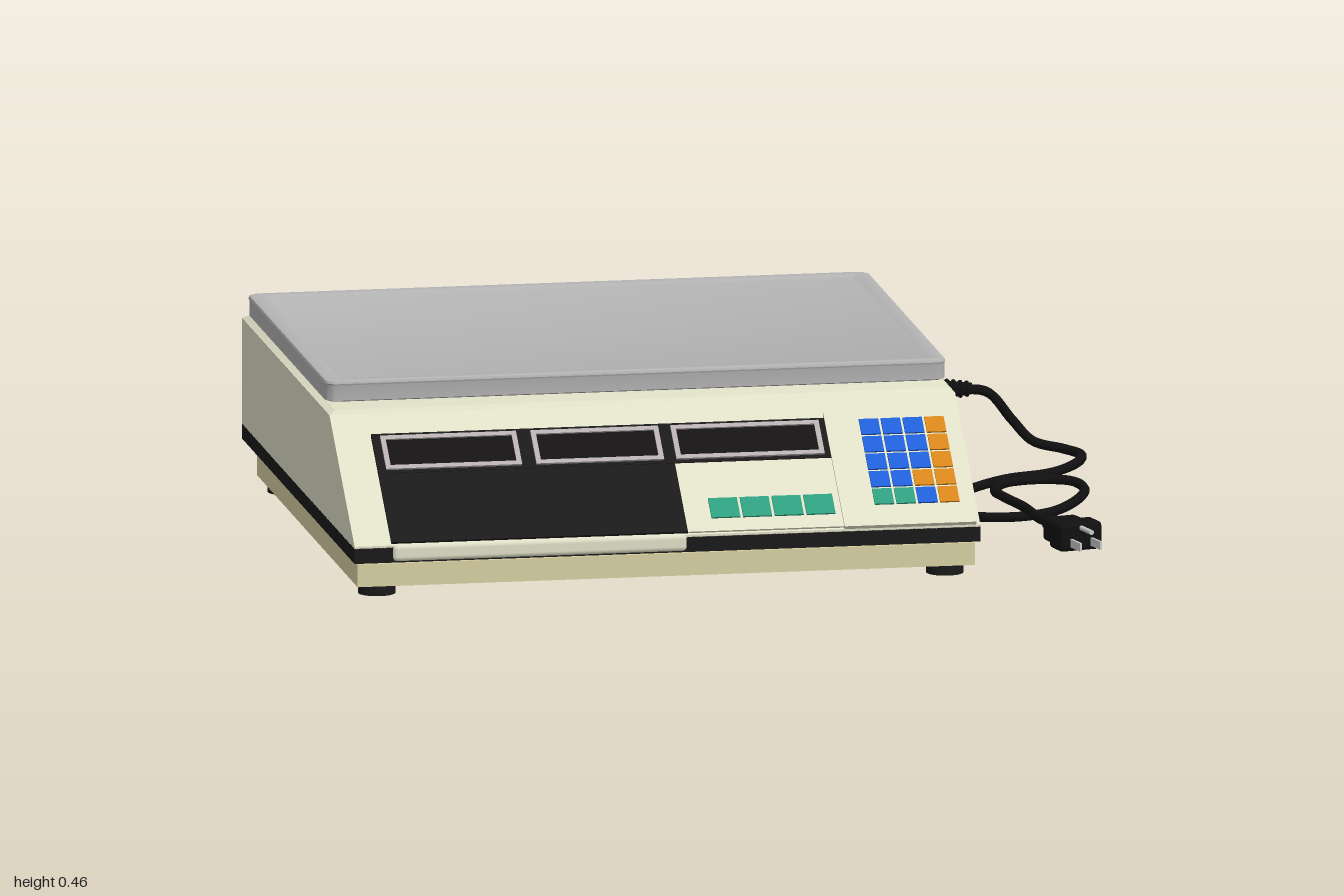
import * as THREE from 'three';
import { toCreasedNormals } from 'three/addons/utils/BufferGeometryUtils.js';
import { RoundedBoxGeometry } from 'three/addons/geometries/RoundedBoxGeometry.js';

const mat = (color) => new THREE.MeshStandardMaterial({ color });
const cream = mat(0xe0e0c8), yellowish = mat(0xd8d0a4), black = mat(0x1a1a1a), cordBlack = mat(0x101010);
const steel = mat(0xb4b4b4), bezelGrey = mat(0xb8b0b0), glass = mat(0x151313), pin = mat(0xcccccc);
const keyColors = { b: mat(0x1f5fd8), o: mat(0xd8861a), g: mat(0x2f9f80) };

function add(parent, name, geometry, material, x = 0, y = 0, z = 0) {
  const mesh = new THREE.Mesh(geometry, material);
  mesh.name = name;
  mesh.position.set(x, y, z);
  parent.add(mesh);
  return mesh;
}

const box = (w, h, d) => new THREE.BoxGeometry(w, h, d);

// Side profile given in (z, y), extruded from x0 to x1
function sideSlab(shape, x0, x1) {
  return new THREE.ExtrudeGeometry(shape, { depth: x1 - x0, bevelEnabled: false, curveSegments: 8 })
    .rotateY(-Math.PI / 2).translate(x1, 0, 0);
}

const polygon = (pts) => new THREE.Shape(pts.map(([a, b]) => new THREE.Vector2(a, b)));

// Stack of rounded rectangles, each level [inset, y], closed at both ends
function loftRect(w, d, r, levels) {
  const pos = [], index = [], steps = 5, n = 4 * (steps + 1);
  for (const [inset, y] of levels) {
    const rad = Math.max(r - inset, 0.002);
    for (let c = 0; c < 4; c++) {
      const sx = c === 0 || c === 3 ? 1 : -1, sz = c < 2 ? 1 : -1;
      for (let k = 0; k <= steps; k++) {
        const a = (c + k / steps) * Math.PI / 2;
        pos.push(sx * (w / 2 - inset - rad) + rad * Math.cos(a), y, -(sz * (d / 2 - inset - rad) + rad * Math.sin(a)));
      }
    }
  }
  const last = levels.length - 1, bottom = pos.length / 3;
  pos.push(0, levels[0][1], 0, 0, levels[last][1], 0);
  for (let j = 0; j < n; j++) {
    const k = (j + 1) % n;
    for (let i = 0; i < last; i++) {
      const a = i * n + j, b = i * n + k;
      index.push(a, b, b + n, a, b + n, a + n);
    }
    index.push(bottom, k, j, bottom + 1, last * n + j, last * n + k);
  }
  const g = new THREE.BufferGeometry();
  g.setAttribute('position', new THREE.Float32BufferAttribute(pos, 3));
  g.setIndex(index);
  return toCreasedNormals(g, 0.5);
}

// Moulded connector: mating face at z = 0, cable leaving towards -z
function connector(name) {
  const g = new THREE.Group();
  g.name = name;
  add(g, 'connectorBody', new RoundedBoxGeometry(0.11, 0.068, 0.07, 2, 0.01), cordBlack, 0, 0, -0.035);
  add(g, 'connectorGrip', new RoundedBoxGeometry(0.088, 0.058, 0.08, 2, 0.012), cordBlack, 0, 0, -0.095);
  add(g, 'strainRelief', new THREE.CylinderGeometry(0.024, 0.014, 0.08, 16).rotateX(Math.PI / 2), cordBlack, 0, 0, -0.16);
  for (let i = 0; i < 4; i++)
    add(g, 'reliefRib', new THREE.TorusGeometry(0.021 - i * 0.002, 0.005, 8, 16), cordBlack, 0, 0, -0.14 - i * 0.016);
  return g;
}

function addHousing(model) {
  const cx = -0.24;
  // Lower tray and feet
  add(model, 'baseTray', box(1.5, 0.055, 1.36), yellowish, cx, 0.0575, 0.065);
  add(model, 'baseNeck', box(1.44, 0.02, 1.3), black, cx, 0.088, 0.065);
  for (const x of [-0.93, 0.45]) for (const z of [0.67, -0.55])
    add(model, 'foot', new THREE.CylinderGeometry(0.045, 0.045, 0.035, 24), black, x, 0.0175, z);

  // Dark band, sloped housing and chamfered top
  add(model, 'lowerBand', box(1.52, 0.037, 1.52), black, cx, 0.1085, 0);
  const profile = polygon([[0.76, 0.126], [0.76, 0.132], [0.42, 0.385], [-0.76, 0.385], [-0.76, 0.126]]);
  add(model, 'housing', sideSlab(profile, -1, 0.52), cream);
  add(model, 'housingTop', loftRect(1.52, 1.18, 0.002, [[0, 0.384], [0.016, 0.394]]), cream, cx, 0, -0.17);

  // Dark panel with rounded front corner, and power inlet
  const panel = new THREE.Shape();
  panel.moveTo(0.37, 0.09);
  panel.lineTo(0.37, 0.235);
  panel.quadraticCurveTo(0.37, 0.27, 0.335, 0.27);
  panel.lineTo(-0.762, 0.27);
  panel.lineTo(-0.762, 0.09);
  add(model, 'sidePanel', sideSlab(panel, 0.51, 0.524), black);
  add(model, 'powerInlet', new RoundedBoxGeometry(0.02, 0.105, 0.15, 2, 0.006), cordBlack, 0.525, 0.193, -0.52);

  // Weighing plate with raised rim, on short posts
  add(model, 'weighingPlate', loftRect(1.51, 1.07, 0.03, [
    [0.012, 0.404], [0.002, 0.408], [0.002, 0.445], [0, 0.449], [0.003, 0.455], [0.01, 0.457],
    [0.035, 0.455], [0.047, 0.449]]), steel, -0.245, 0, -0.165);
  for (const x of [-0.8, 0.32]) for (const z of [-0.55, 0.22])
    add(model, 'platePost', new THREE.CylinderGeometry(0.03, 0.03, 0.025, 16), black, x, 0.398, z);
}

function addControlPanel(model) {
  // Local x across, y up the slope, z out of the slope
  const face = new THREE.Group();
  face.name = 'controlPanel';
  face.position.set(0, 0.132, 0.76);
  face.rotation.x = -Math.atan2(0.34, 0.253);
  model.add(face);
  const plate = (name, x0, x1, v0, v1, t, material) =>
    add(face, name, box(x1 - x0, v1 - v0, t), material, (x0 + x1) / 2, (v0 + v1) / 2, t / 2);

  plate('darkPanel', -0.91, -0.19, 0.005, 0.348, 0.006, black);
  plate('memoryPanel', -0.19, 0.19, 0.005, 0.348, 0.005, cream);
  plate('keypadPanel', 0.19, 0.51, 0, 0.365, 0.01, cream);
  plate('displayStrip', -0.91, 0.19, 0.225, 0.352, 0.007, black);

  // Three framed displays
  for (const [x0, x1] of [[-0.89, -0.56], [-0.525, -0.215], [-0.185, 0.175]]) {
    const v0 = 0.235, v1 = 0.342, b = 0.012;
    const frame = polygon([[x0, v0], [x1, v0], [x1, v1], [x0, v1]]);
    frame.holes.push(polygon([[x0 + b, v0 + b], [x0 + b, v1 - b], [x1 - b, v1 - b], [x1 - b, v0 + b]]));
    add(face, 'displayFrame', new THREE.ExtrudeGeometry(frame, { depth: 0.012, bevelEnabled: false }), bezelGrey);
    plate('displayGlass', x0 + b, x1 - b, v0 + b, v1 - b, 0.008, glass);
  }

  // Memory keys and number pad
  for (let i = 0; i < 4; i++) {
    const x = -0.127 + i * 0.077;
    plate('memoryKey', x, x + 0.07, 0.045, 0.107, 0.009, keyColors.g);
  }
  ['ggbo', 'bboo', 'bbbo', 'bbbo', 'bbbo'].forEach((row, r) => [...row].forEach((c, i) => {
    const x = 0.272 + i * 0.053, v = 0.065 + r * 0.056;
    plate('key', x, x + 0.047, v, v + 0.049, 0.014, keyColors[c]);
  }));

  // Light rounded bar under the dark panel
  add(model, 'frontBar', new RoundedBoxGeometry(0.72, 0.046, 0.036, 3, 0.014), cream, -0.55, 0.113, 0.747);
}

function addPowerCord(model) {
  const cord = new THREE.Group();
  cord.name = 'powerCord';
  model.add(cord);

  const inletPlug = connector('inletConnector');
  inletPlug.position.set(0.53, 0.197, -0.523);
  inletPlug.rotation.y = -Math.PI / 2;
  cord.add(inletPlug);

  // Cable dropping to the ground and looping over itself
  const path = [
    [0.7, 0.197, -0.523], [0.77, 0.185, -0.53], [0.83, 0.115, -0.532], [0.88, 0.062, -0.53], [0.95, 0.044, -0.515],
    [0.983, 0.04, -0.46], [0.95, 0.04, -0.35], [0.87, 0.038, -0.26], [0.76, 0.036, -0.22], [0.65, 0.034, -0.12],
    [0.58, 0.034, 0], [0.565, 0.034, 0.1], [0.6, 0.034, 0.19], [0.7, 0.036, 0.228], [0.8, 0.036, 0.18],
    [0.88, 0.04, 0.07], [0.918, 0.042, -0.05], [0.9, 0.044, -0.135], [0.83, 0.046, -0.155], [0.74, 0.05, -0.11],
    [0.692, 0.055, 0], [0.695, 0.062, 0.12], [0.715, 0.066, 0.25], [0.722, 0.068, 0.35], [0.727, 0.069, 0.42], [0.738, 0.07, 0.47],
  ].map((p) => new THREE.Vector3(...p));
  add(cord, 'cable', new THREE.TubeGeometry(new THREE.CatmullRomCurve3(path), 200, 0.012, 10), cordBlack);

  // Mains plug with two flat blades and a round earth pin
  const plug = connector('mainsPlug');
  plug.position.set(0.785, 0.07, 0.655);
  plug.rotation.y = Math.atan2(0.24, 0.97);
  for (const x of [-0.026, 0.026]) add(plug, 'blade', box(0.006, 0.02, 0.06), pin, x, -0.013, 0.025);
  add(plug, 'earthPin', new THREE.CylinderGeometry(0.006, 0.006, 0.065, 12).rotateX(Math.PI / 2), pin, 0, 0.022, 0.027);
  cord.add(plug);
}

export function createModel() {
  const model = new THREE.Group();
  model.name = 'countertopScale';
  addHousing(model);
  addControlPanel(model);
  addPowerCord(model);
  return model;
}
